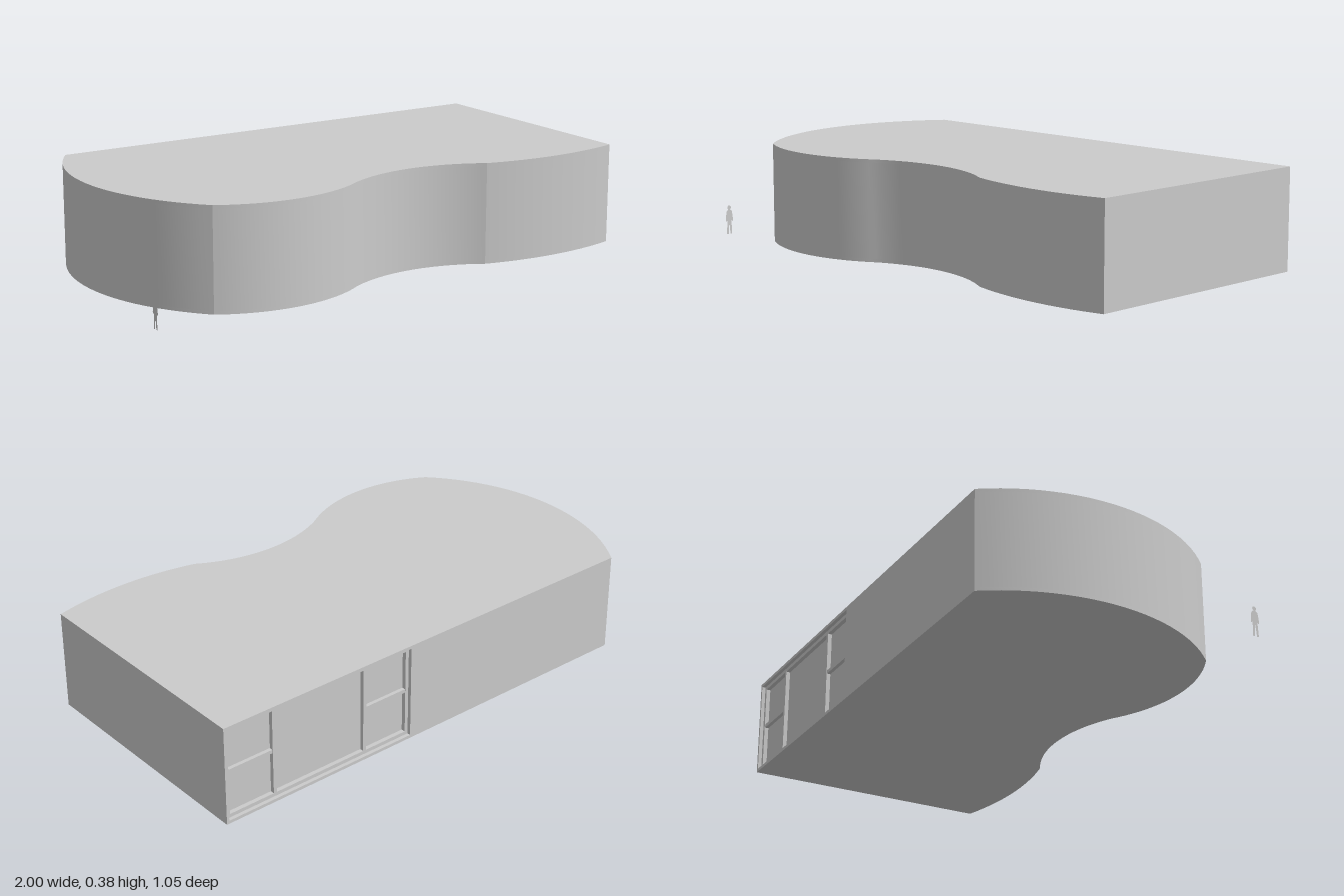
import * as THREE from 'three';
import { toCreasedNormals } from 'three/addons/utils/BufferGeometryUtils.js';

const grey = new THREE.MeshStandardMaterial({ color: 0xcccccc });
const greyThin = new THREE.MeshStandardMaterial({ color: 0xcccccc, side: THREE.DoubleSide });

const HEIGHT = 0.385, SLAB = 0.012, BACK = -0.53, RECESS = 0.03;
const WIN_MIN = 0.18, WIN_MAX = 0.99;

// Points on the circle through a, m and b, running from a to b (a left out)
function arc(a, m, b, n = 24) {
  const d = 2 * (a[0] * (m[1] - b[1]) + m[0] * (b[1] - a[1]) + b[0] * (a[1] - m[1]));
  const q = (p) => p[0] * p[0] + p[1] * p[1];
  const cx = (q(a) * (m[1] - b[1]) + q(m) * (b[1] - a[1]) + q(b) * (a[1] - m[1])) / d;
  const cy = (q(a) * (b[0] - m[0]) + q(m) * (a[0] - b[0]) + q(b) * (m[0] - a[0])) / d;
  const r = Math.hypot(a[0] - cx, a[1] - cy);
  const start = Math.atan2(a[1] - cy, a[0] - cx);
  let sweep = Math.atan2(b[1] - cy, b[0] - cx) - start;
  sweep = Math.atan2(Math.sin(sweep), Math.cos(sweep));
  return Array.from({ length: n }, (_, i) => {
    const t = start + (sweep * (i + 1)) / n;
    return new THREE.Vector2(cx + r * Math.cos(t), cy + r * Math.sin(t));
  });
}

// Plan of the building in (x, z), optionally with the window recess cut out
function plan(withRecess) {
  const v = (x, z) => new THREE.Vector2(x, z);
  const points = [
    v(-0.83, BACK),
    ...arc([-0.83, BACK], [-0.97, -0.09], [-0.755, 0.443]),
    ...arc([-0.755, 0.443], [-0.47, 0.522], [-0.16, 0.43]),
    ...arc([-0.16, 0.43], [0.11, 0.362], [0.408, 0.446]),
    ...arc([0.408, 0.446], [0.7, 0.486], [1, 0.448]),
    v(1, BACK),
  ];
  if (withRecess) {
    points.push(v(WIN_MAX, BACK), v(WIN_MAX, BACK + RECESS), v(WIN_MIN, BACK + RECESS), v(WIN_MIN, BACK));
  }
  return new THREE.Shape(points);
}

function addSlab(group, name, shape, y0, y1) {
  const geo = new THREE.ExtrudeGeometry(shape, { depth: y1 - y0, bevelEnabled: false });
  geo.rotateX(Math.PI / 2).translate(0, y1, 0);
  const mesh = new THREE.Mesh(toCreasedNormals(geo, 0.2), grey);
  mesh.name = name;
  group.add(mesh);
}

function buildWindow() {
  const group = new THREE.Group();
  group.name = 'windowFrame';
  const bar = (name, x0, x1, y0, y1, depth = 0.016) => {
    const mesh = new THREE.Mesh(new THREE.BoxGeometry(x1 - x0, y1 - y0, depth), grey);
    mesh.position.set((x0 + x1) / 2, (y0 + y1) / 2, BACK + RECESS - depth / 2);
    mesh.name = name;
    group.add(mesh);
  };
  const w = 0.014, low = SLAB, high = HEIGHT - SLAB;
  // Outer frame
  bar('sill', WIN_MIN, WIN_MAX, low, low + w);
  bar('head', WIN_MIN, WIN_MAX, high - w, high);
  // Jambs and mullions
  for (const x of [WIN_MIN, 0.375, 0.775, WIN_MAX - w]) bar('mullion', x, x + w, low + w, high - w);
  // Middle rails of the two side bays
  for (const [x0, x1] of [[WIN_MIN + w, 0.375], [0.775 + w, WIN_MAX - w]]) {
    bar('transom', x0, x1, 0.19, 0.19 + w, 0.014);
  }
  return group;
}

// Flat scale figure standing beside the building
function buildFigure() {
  const group = new THREE.Group();
  group.name = 'scaleFigure';
  const body = new THREE.Shape([
    [-0.013, 0], [-0.005, 0], [0, 0.048], [0.004, 0], [0.012, 0], [0.01, 0.055],
    [0.016, 0.05], [0.018, 0.056], [0.013, 0.092], [0.004, 0.099],
    [-0.004, 0.099], [-0.013, 0.092], [-0.018, 0.056], [-0.015, 0.05], [-0.01, 0.055],
  ].map(([x, y]) => new THREE.Vector2(x, y)));
  const torso = new THREE.Mesh(new THREE.ShapeGeometry(body), greyThin);
  torso.name = 'figureBody';
  const head = new THREE.Mesh(new THREE.CircleGeometry(0.0085, 12), greyThin);
  head.position.y = 0.107;
  head.name = 'figureHead';
  group.add(torso, head);
  group.rotation.y = Math.PI / 2;
  group.position.set(-1, 0, 0.48);
  return group;
}

export function createModel() {
  const model = new THREE.Group();
  model.name = 'curvedPavilion';
  addSlab(model, 'floor', plan(false), 0, SLAB);
  addSlab(model, 'walls', plan(true), SLAB, HEIGHT - SLAB);
  addSlab(model, 'roof', plan(false), HEIGHT - SLAB, HEIGHT);
  model.add(buildWindow(), buildFigure());
  return model;
}
